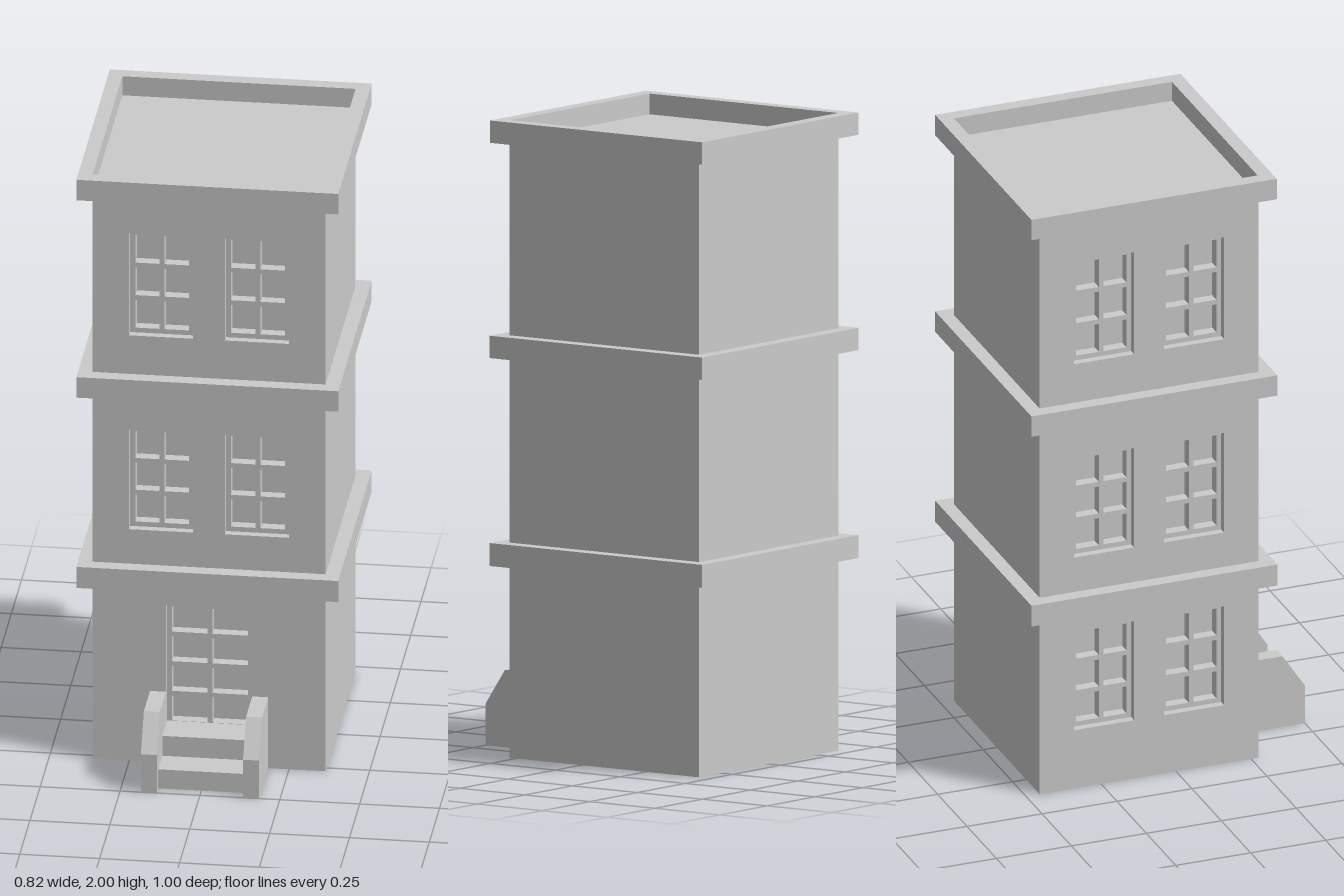
import * as THREE from 'three';

const mat = new THREE.MeshStandardMaterial({ color: 0xcccccc, flatShading: true });

const HALF = 0.365, FRONT = 0.275, BACK = -0.455, WALL_H = 1.93;
const RECESS = 0.06; // depth from the wall face to the glass

function mesh(parent, name, geometry) {
  const m = new THREE.Mesh(geometry, mat);
  m.name = name;
  parent.add(m);
  return m;
}

// Box given by its min and max corners
function box(parent, name, [x0, y0, z0], [x1, y1, z1]) {
  const m = mesh(parent, name, new THREE.BoxGeometry(x1 - x0, y1 - y0, z1 - z0));
  m.position.set((x0 + x1) / 2, (y0 + y1) / 2, (z0 + z1) / 2);
  return m;
}

function rect(x0, y0, x1, y1, Type = THREE.Path) {
  return new Type([[x0, y0], [x1, y0], [x1, y1], [x0, y1]].map(p => new THREE.Vector2(...p)));
}

function extrude(shape, depth) {
  return new THREE.ExtrudeGeometry(shape, { depth, bevelEnabled: false });
}

// Frame and glazing bars filling one opening
function glazing(parent, name, o) {
  const bar = 0.016;
  const shape = rect(o.x0, o.y0, o.x1, o.y1, THREE.Shape);
  const w = (o.x1 - o.x0 - bar * (o.cols + 1)) / o.cols;
  const h = (o.y1 - o.y0 - bar * (o.rows + 1)) / o.rows;
  for (let c = 0; c < o.cols; c++) {
    for (let r = 0; r < o.rows; r++) {
      const x = o.x0 + bar + c * (w + bar), y = o.y0 + bar + r * (h + bar);
      shape.holes.push(rect(x, y, x + w, y + h));
    }
  }
  mesh(parent, name, extrude(shape, 0.035));
}

// Wall panel pierced by openings; the core behind it reads as the glass
function facade(name, x0, x1, openings) {
  const g = new THREE.Group();
  g.name = name;
  const wall = rect(x0, 0, x1, WALL_H, THREE.Shape);
  for (const o of openings) {
    wall.holes.push(rect(o.x0, o.y0, o.x1, o.y1));
    glazing(g, o.name, o);
  }
  mesh(g, 'wall', extrude(wall, RECESS));
  return g;
}

function windowPair(centre, y0, y1) {
  return [-0.15, 0.15].map(d => ({
    name: 'windowFrame', x0: centre + d - 0.1, x1: centre + d + 0.1, y0, y1, cols: 2, rows: 3,
  }));
}

export function createModel() {
  const model = new THREE.Group();
  model.name = 'townHouse';

  // Solid core of the building
  box(model, 'core', [-HALF + RECESS, 0, BACK], [HALF, WALL_H, FRONT - RECESS]);

  // Front with the door and two storeys of windows
  const door = { name: 'door', x0: -0.135, x1: 0.135, y0: 0.118, y1: 0.54, cols: 2, rows: 4 };
  const front = facade('frontFacade', -HALF, HALF,
    [door, ...windowPair(0, 0.793, 1.135), ...windowPair(0, 1.457, 1.807)]);
  front.position.z = FRONT - RECESS;
  model.add(front);

  // Side with windows on all three storeys
  const mid = (FRONT + BACK) / 2;
  const side = facade('sideFacade', BACK, FRONT - RECESS,
    [...windowPair(mid, 0.2, 0.54), ...windowPair(mid, 0.793, 1.135), ...windowPair(mid, 1.457, 1.807)]);
  side.rotation.y = -Math.PI / 2;
  side.position.x = -HALF + RECESS;
  model.add(side);

  // Bands between the storeys
  for (const [y0, y1] of [[0.603, 0.675], [1.255, 1.325]]) {
    const t = 0.045;
    const ring = rect(-HALF - t, BACK - t, HALF + t, FRONT + t, THREE.Shape);
    ring.holes.push(rect(-HALF + 0.01, BACK + 0.01, HALF - 0.01, FRONT - 0.01));
    const band = mesh(model, 'storeyBand', extrude(ring, y1 - y0));
    band.rotation.x = Math.PI / 2;
    band.position.y = y1;
  }

  // Parapet around the sunken flat roof
  const rim = rect(-0.41, -0.5, 0.41, 0.318, THREE.Shape);
  rim.holes.push(rect(-HALF, BACK, HALF, 0.272));
  const parapet = mesh(model, 'parapet', extrude(rim, 0.07));
  parapet.rotation.x = Math.PI / 2;
  parapet.position.y = 2;
  box(model, 'roof', [-HALF, 1.92, BACK], [HALF, 1.935, FRONT]);

  // Entrance steps
  box(model, 'lowerStep', [-0.135, 0, FRONT], [0.135, 0.065, 0.465]);
  box(model, 'upperStep', [-0.135, 0.065, FRONT], [0.135, 0.133, 0.364]);
  box(model, 'threshold', [-0.135, 0.1, FRONT - RECESS], [0.135, 0.133, FRONT]);

  // Chamfered walls either side of the steps
  const profile = new THREE.Shape([[-0.5, 0], [-FRONT, 0], [-FRONT, 0.243], [-0.425, 0.243], [-0.5, 0.13]]
    .map(p => new THREE.Vector2(...p)));
  for (const x of [-0.185, 0.135]) {
    const cheek = mesh(model, 'stepSideWall', extrude(profile, 0.05));
    cheek.rotation.y = Math.PI / 2;
    cheek.position.x = x;
  }

  return model;
}
